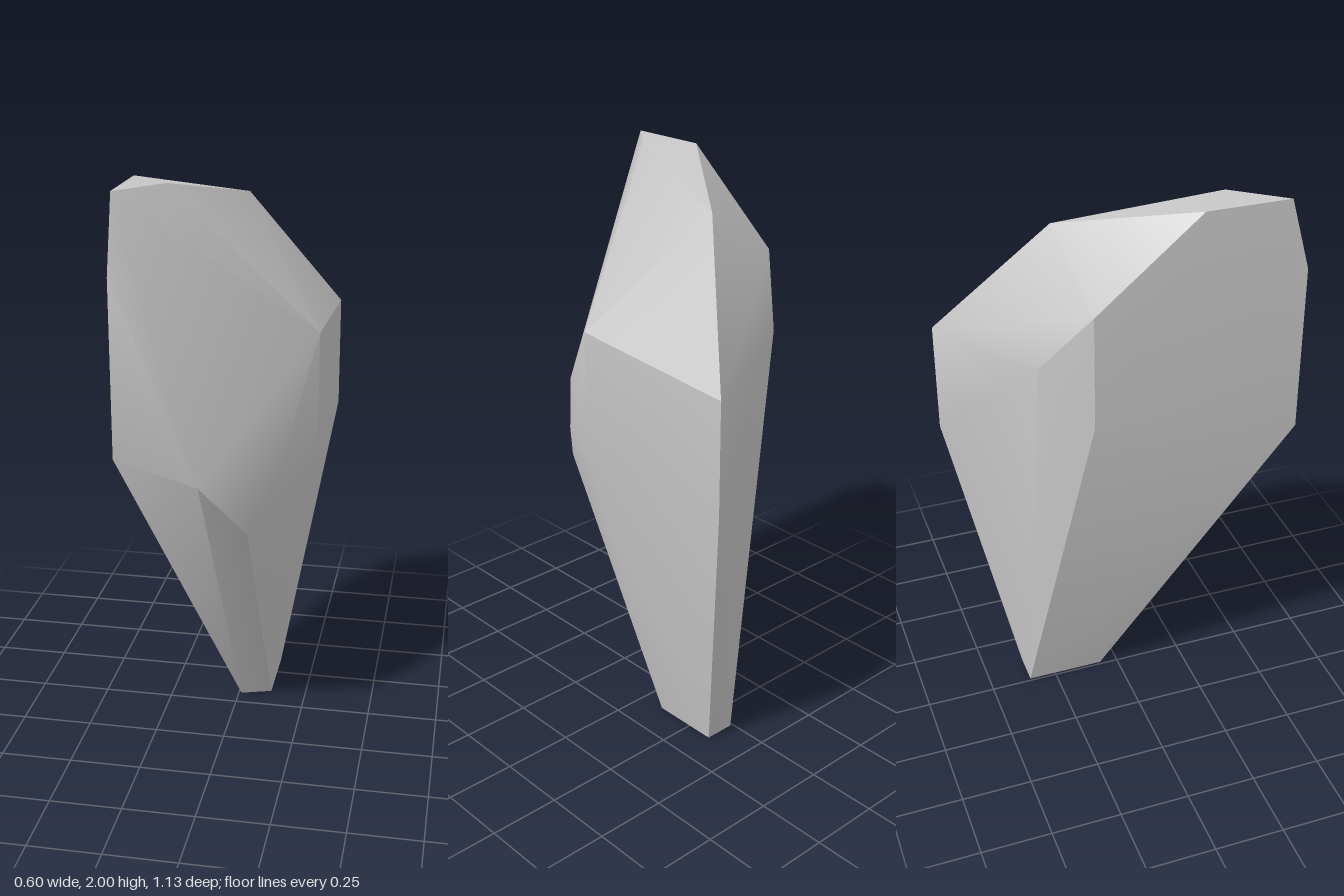
import * as THREE from 'three';
import { ConvexGeometry } from 'three/addons/geometries/ConvexGeometry.js';
import { toCreasedNormals } from 'three/addons/utils/BufferGeometryUtils.js';

// Corner points of the faceted rock, from the narrow foot up to the slanted crown
const CORNERS = [
  // foot
  [0.01, 0, -0.066], [0.12, 0, -0.1], [0.12, 0, -0.35], [0.01, 0, -0.35],
  // lower belt
  [0.11, 0.87, 0.4], [0.19, 1.03, 0.31], [0.3, 1.03, 0.08], [0.3, 1.03, -0.565],
  [-0.02, 1.09, 0.565], [-0.3, 1.16, 0.54], [-0.3, 1.3, -0.18],
  // upper belt
  [0.3, 1.48, 0.08], [0.3, 1.43, -0.565], [-0.175, 1.48, -0.33],
  [-0.3, 1.7, -0.18], [-0.3, 1.75, 0.54],
  // crown
  [0.01, 1.89, -0.22], [-0.3, 2, 0.18], [-0.165, 2, 0.3], [-0.3, 2, 0.47],
];

export function createModel() {
  const group = new THREE.Group();
  group.name = 'rock';

  const stone = new THREE.MeshStandardMaterial({ color: 0xc8c8c8 });
  stone.name = 'stone grey';

  // Soft shading over shallow edges, crisp on the steep ones
  const hull = new ConvexGeometry(CORNERS.map((p) => new THREE.Vector3(...p)));
  const body = new THREE.Mesh(toCreasedNormals(hull, THREE.MathUtils.degToRad(33)), stone);
  body.name = 'rockBody';
  group.add(body);

  return group;
}
